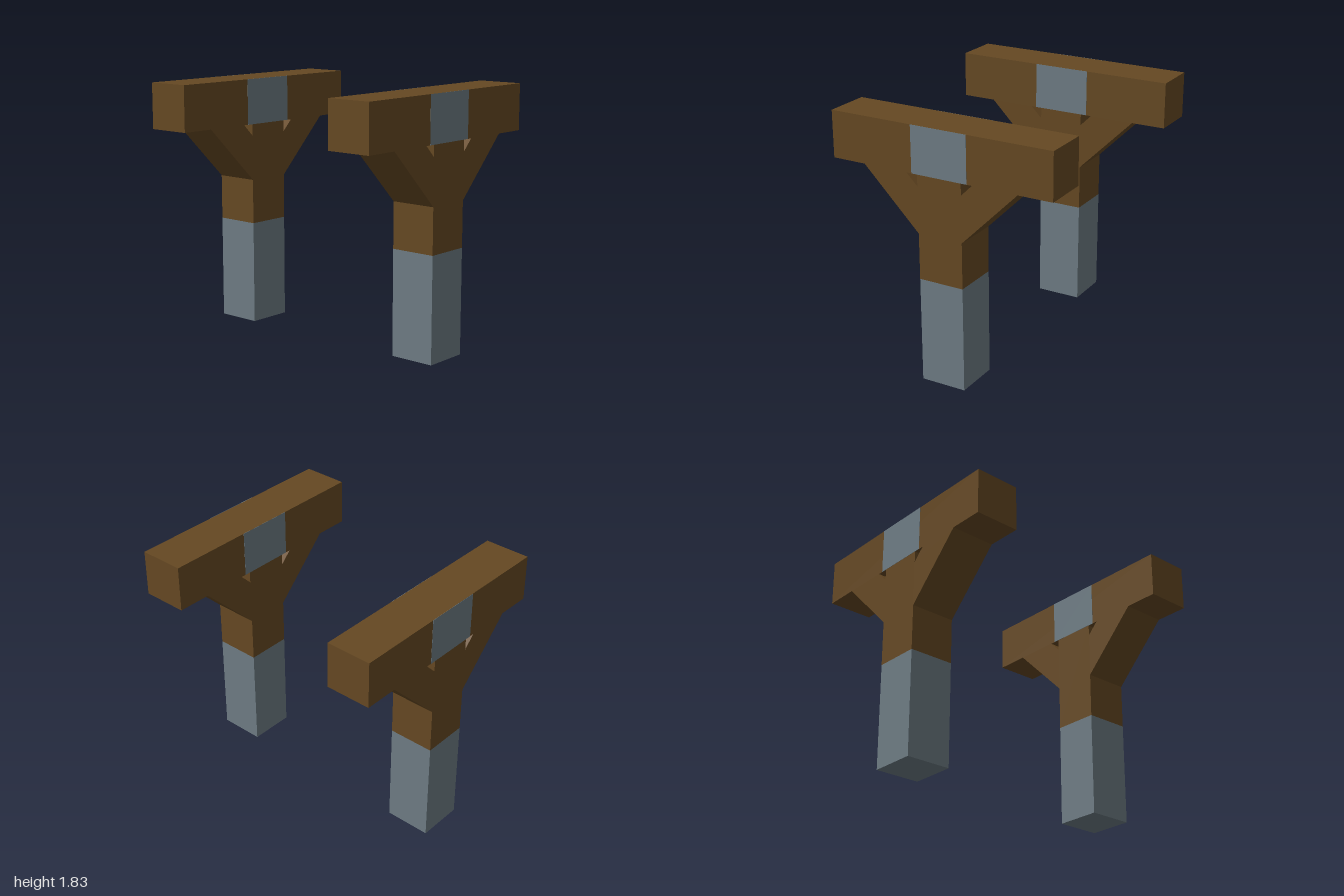
import * as THREE from 'three';

const wood = new THREE.MeshStandardMaterial({ color: 0x654822 });
wood.name = 'brown wood';
const steel = new THREE.MeshStandardMaterial({ color: 0x6d7b83 });
steel.name = 'blue grey metal';

const DEPTH = 1 / 3;      // thickness of every timber
const HALF = 1 / 6;       // half width of the post
const BEAM_Y = 1.5;       // underside of the beam
const BEAM_H = 1 / 3;
const SLEEVE_H = 0.757;   // height of the grey post base

function box(name, w, h, d, x, y, z, material) {
  const mesh = new THREE.Mesh(new THREE.BoxGeometry(w, h, d), material);
  mesh.name = name;
  mesh.position.set(x, y, z);
  return mesh;
}

// Diagonal brace from the post up to the beam; side is +1 or -1
function brace(side) {
  const points = [[HALF, 1.085], [0.583, BEAM_Y], [0.25, BEAM_Y], [HALF, 1.417]]
    .map(([x, y]) => new THREE.Vector2(side * x, y));
  const geometry = new THREE.ExtrudeGeometry(new THREE.Shape(points), { depth: DEPTH, bevelEnabled: false });
  geometry.translate(0, 0, -DEPTH / 2);
  const mesh = new THREE.Mesh(geometry, wood);
  mesh.name = side > 0 ? 'leftBrace' : 'rightBrace';
  return mesh;
}

function createTrestle(name, z) {
  const trestle = new THREE.Group();
  trestle.name = name;
  trestle.position.z = z;

  // Post: grey base below, wood above
  trestle.add(box('postBase', HALF * 2, SLEEVE_H, DEPTH, 0, SLEEVE_H / 2, 0, steel));
  const upper = BEAM_Y - SLEEVE_H;
  trestle.add(box('postTop', HALF * 2, upper, DEPTH, 0, SLEEVE_H + upper / 2, 0, wood));

  // Braces and cross beam
  trestle.add(brace(1), brace(-1));
  const beamY = BEAM_Y + BEAM_H / 2;
  trestle.add(box('beam', 5 / 3, BEAM_H, DEPTH, 0, beamY, 0, wood));

  // Thin grey plates on both faces of the beam
  for (const side of [1, -1]) {
    trestle.add(box(side > 0 ? 'frontPlate' : 'backPlate', 0.42, BEAM_H, 0.003,
      0, beamY, side * DEPTH / 2, steel));
  }
  return trestle;
}

export function createModel() {
  const model = new THREE.Group();
  model.name = 'pairOfSupports';
  model.add(createTrestle('frontSupport', 1 - DEPTH / 2));
  model.add(createTrestle('backSupport', -1 + DEPTH / 2));
  return model;
}
